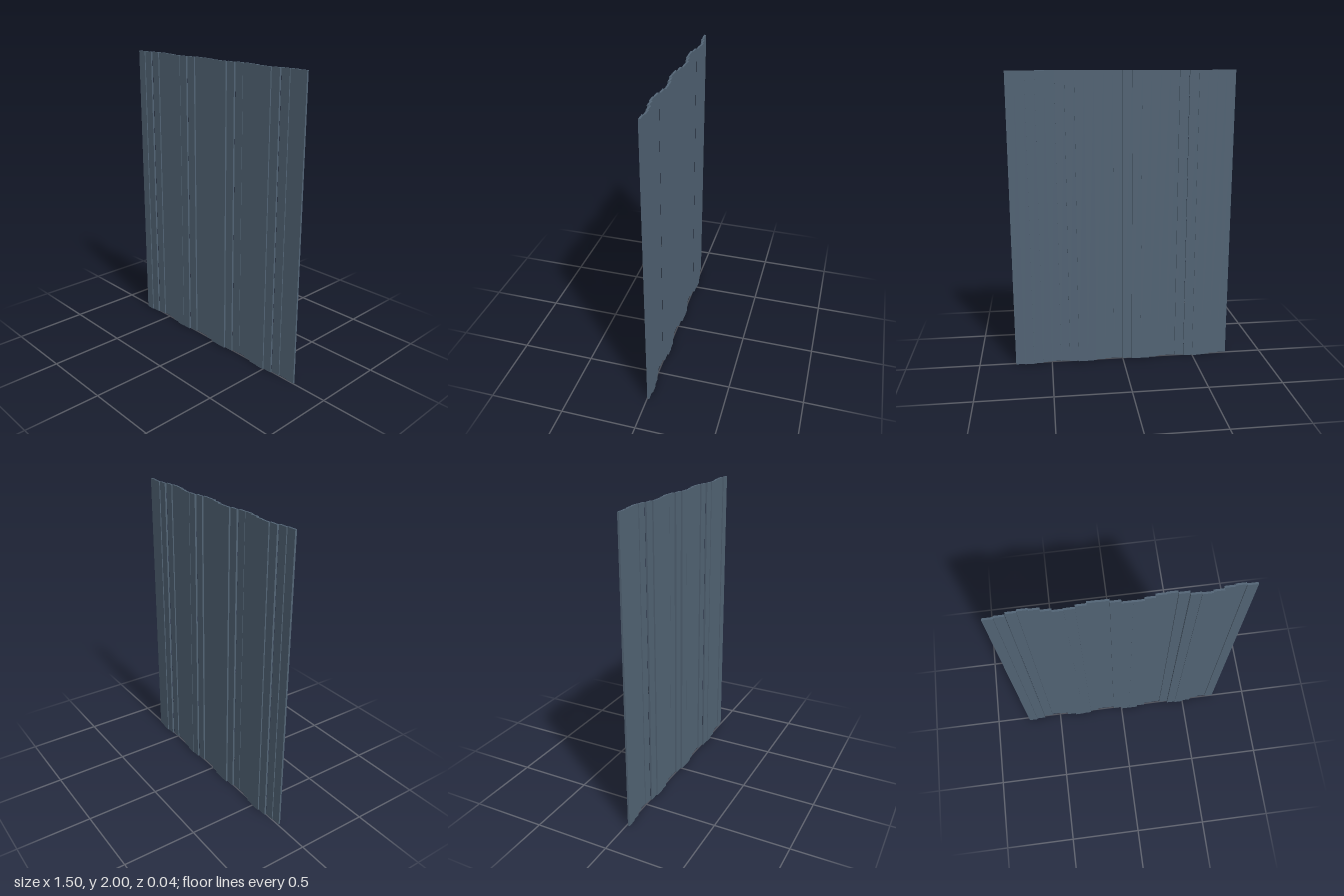
import * as THREE from 'three';

const COUNT = 24;        // vertical strips
const WIDTH = 0.0625;
const HEIGHT = 2;
const THICKNESS = 0.0125;
const WAVE = 0.0145;     // depth of the ripple

export function createModel() {
  const group = new THREE.Group();
  group.name = 'rippledCurtain';

  const slate = new THREE.MeshStandardMaterial({ color: 0x526475 });
  slate.name = 'slate blue';

  // Flat strips side by side, each stepped in depth along a cosine wave
  const stripGeometry = new THREE.BoxGeometry(WIDTH, HEIGHT, THICKNESS);
  for (let i = 0; i < COUNT; i++) {
    const strip = new THREE.Mesh(stripGeometry, slate);
    strip.name = `strip${i + 1}`;
    strip.position.set((i - (COUNT - 1) / 2) * WIDTH, HEIGHT / 2, WAVE * Math.cos(i));
    group.add(strip);
  }
  return group;
}
